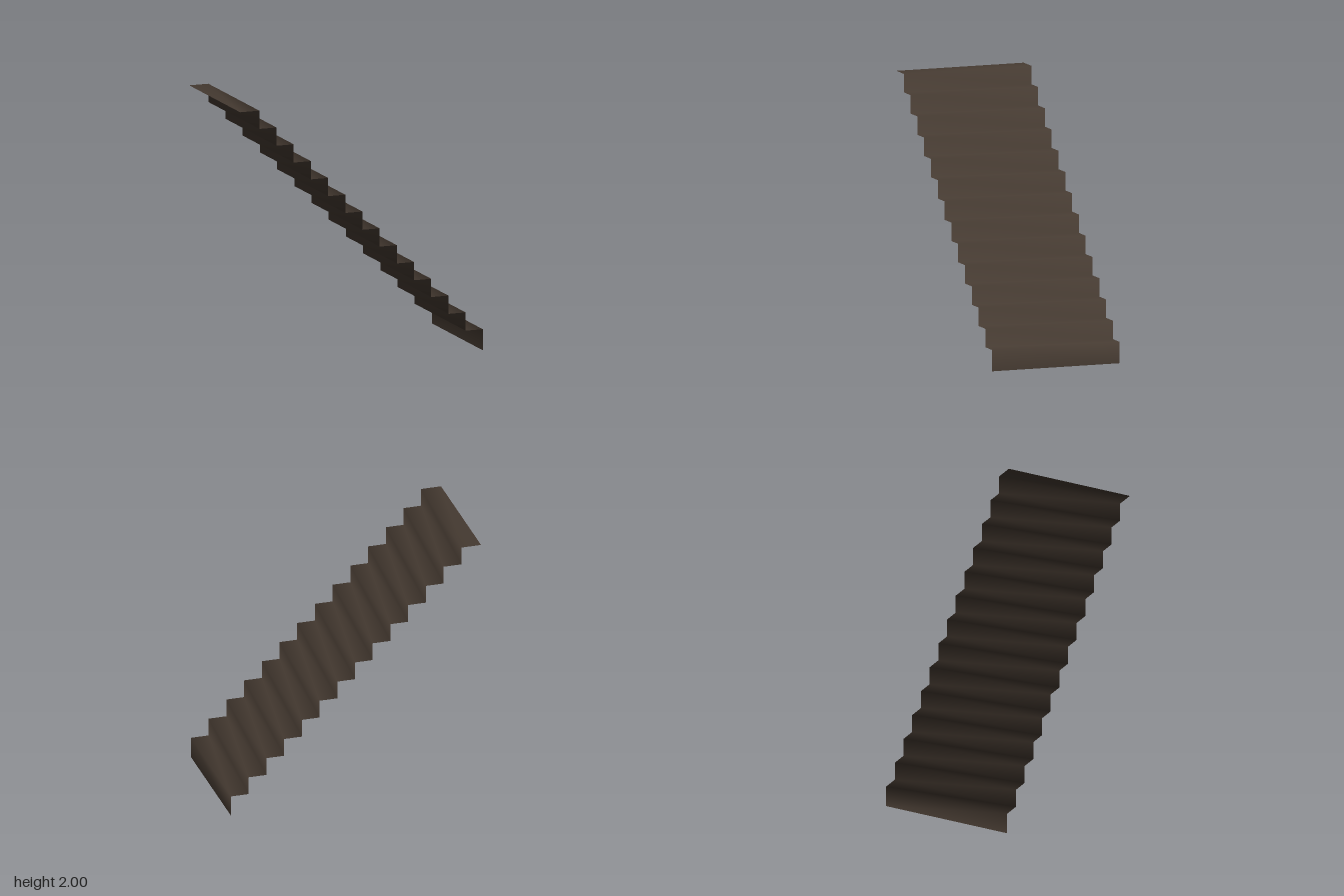
import * as THREE from 'three';

const STEPS = 14;
const HALF_X = 0.988, HALF_Z = 0.518, HEIGHT = 2;
const TOP_TREAD = 0.156, BOTTOM_RISER = 0.163; // the end steps are slightly larger
const RUN = (2 * HALF_X - TOP_TREAD) / (STEPS - 1);
const RISE = (HEIGHT - BOTTOM_RISER) / (STEPS - 1);

// Zigzag side profile, from the top landing down to the floor at +x
function stairProfile() {
  const points = [new THREE.Vector2(-HALF_X, HEIGHT)];
  for (let i = 0; i < STEPS; i++) {
    const x = -HALF_X + TOP_TREAD + i * RUN;
    points.push(new THREE.Vector2(x, HEIGHT - i * RISE)); // nosing
    points.push(new THREE.Vector2(x, i === STEPS - 1 ? 0 : HEIGHT - (i + 1) * RISE)); // foot of riser
  }
  return points;
}

export function createModel() {
  const group = new THREE.Group();
  group.name = 'staircase';

  const darkWood = new THREE.MeshStandardMaterial({ color: 0x453a31 });
  darkWood.name = 'darkWood';
  darkWood.side = THREE.DoubleSide;

  // One thin folded sheet: a strip bent along the profile, smooth across the folds
  const profile = stairProfile();
  const columns = profile.length;
  const sheet = new THREE.PlaneGeometry(1, 1, columns - 1, 1);
  const position = sheet.attributes.position;
  for (let i = 0; i < position.count; i++) {
    const p = profile[i % columns];
    position.setXYZ(i, p.x, p.y, i < columns ? -HALF_Z : HALF_Z);
  }
  sheet.computeVertexNormals();

  const steps = new THREE.Mesh(sheet, darkWood);
  steps.name = 'steps';
  group.add(steps);
  return group;
}
